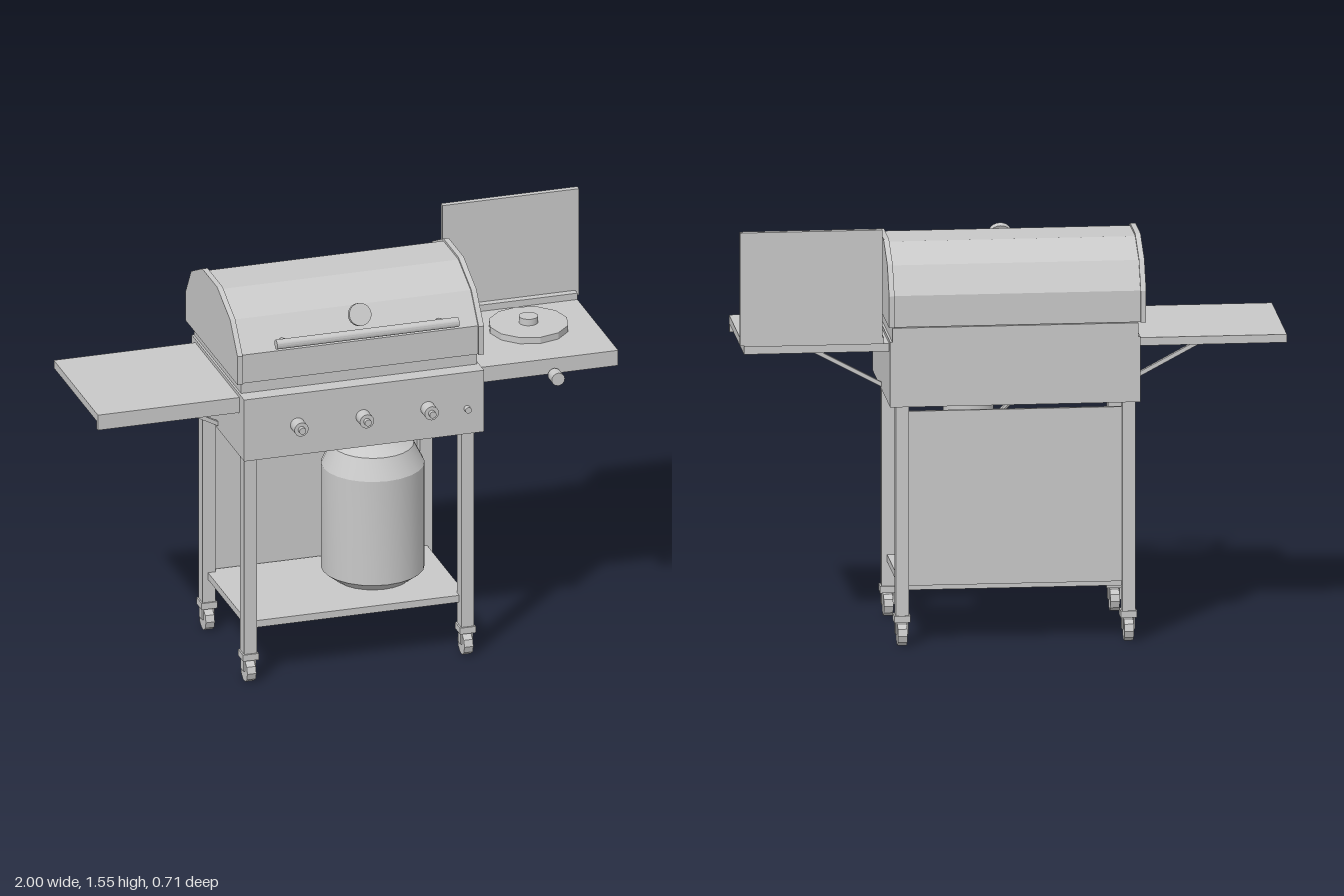
import * as THREE from 'three';
import { toCreasedNormals } from 'three/addons/utils/BufferGeometryUtils.js';

export function createModel() {
  const model = new THREE.Group();
  model.name = 'grillCart';
  const metal = new THREE.MeshStandardMaterial({ color: 0xc8c8c8 });
  metal.name = 'grey metal';

  const add = (name, geometry, x = 0, y = 0, z = 0, parent = model) => {
    const mesh = new THREE.Mesh(geometry, metal);
    mesh.name = name;
    mesh.position.set(x, y, z);
    parent.add(mesh);
    return mesh;
  };
  // Box given by its minimum and maximum on each axis
  const box = (name, x0, x1, y0, y1, z0, z1, parent) =>
    add(name, new THREE.BoxGeometry(x1 - x0, y1 - y0, z1 - z0),
      (x0 + x1) / 2, (y0 + y1) / 2, (z0 + z1) / 2, parent);
  // Round bar between two points
  const rod = (name, a, b, r, sides = 16, parent = model) => {
    const p = new THREE.Vector3(...a), q = new THREE.Vector3(...b);
    const d = q.clone().sub(p);
    const geo = toCreasedNormals(new THREE.CylinderGeometry(r, r, d.length(), sides), 0.6);
    const mesh = add(name, geo, 0, 0, 0, parent);
    mesh.position.copy(p).add(q).multiplyScalar(0.5);
    mesh.quaternion.setFromUnitVectors(new THREE.Vector3(0, 1, 0), d.normalize());
    return mesh;
  };
  // Side profile of [z, y] points extruded along x
  const slab = (name, points, x0, x1) => {
    const shape = new THREE.Shape(points.map(([z, y]) => new THREE.Vector2(-z, y)));
    const geo = new THREE.ExtrudeGeometry(shape, { depth: x1 - x0, bevelEnabled: false });
    geo.rotateY(Math.PI / 2);
    return add(name, geo, x0);
  };

  // Firebox with a narrower upper step
  box('firebox', -0.46, 0.455, 0.9, 1.143, -0.345, 0.287);
  box('fireboxRim', -0.452, 0.447, 1.143, 1.195, -0.345, 0.225);

  // Faceted lid with slightly larger end bands
  const lid = (inset) => [
    [0.27 - inset, 1.198], [0.27 - inset, 1.31], [0.18 - inset * 0.7, 1.42 - inset * 0.5],
    [0.025, 1.485 - inset], [-0.155, 1.485 - inset], [-0.29 + inset * 0.7, 1.42 - inset * 0.5],
    [-0.355 + inset, 1.315], [-0.355 + inset, 1.198]];
  slab('lid', lid(0.009), -0.465, 0.445);
  slab('lidBandRight', lid(0), -0.48, -0.46);
  slab('lidBandLeft', lid(0), 0.44, 0.46);

  // Lid handle and thermometer
  rod('lidHandle', [-0.355, 1.37, 0.338], [0.34, 1.37, 0.338], 0.018);
  for (const x of [-0.305, 0.294])
    rod('handleBracket', [x, 1.37, 0.338], [x, 1.34, 0.25], 0.014);
  rod('thermometer', [-0.007, 1.403, 0.238], [-0.007, 1.411, 0.256], 0.042, 20);

  // Control knobs and igniter button
  for (const x of [-0.257, -0.007, 0.24]) {
    rod('knob', [x, 1.02, 0.28], [x, 1.02, 0.337], 0.027);
    rod('knobCap', [x, 1.02, 0.33], [x, 1.02, 0.353], 0.013);
  }
  rod('igniter', [0.39, 1.0, 0.28], [0.39, 1.0, 0.307], 0.012);

  // Side shelves, each with a front lip and a diagonal brace
  const shelf = [[0.23, 1.13], [0.23, 1.07], [0.212, 1.07], [0.212, 1.1], [-0.302, 1.1], [-0.302, 1.13]];
  slab('rightShelf', shelf, -1, -0.455);
  slab('leftShelf', shelf, 0.45, 0.985);
  for (const s of [-1, 1]) {
    const dx = 0.31, dy = 0.165;
    const brace = add('shelfBrace', new THREE.BoxGeometry(Math.hypot(dx, dy), 0.015, 0.016),
      s * 0.605, 0.998, -0.034);
    brace.rotation.z = s * Math.atan2(dy, dx);
  }

  // Side burner with its raised cover
  add('burnerPlate', new THREE.CylinderGeometry(0.147, 0.147, 0.025, 12).toNonIndexed(), 0.735, 1.142, -0.062)
    .geometry.computeVertexNormals();
  rod('burnerCap', [0.735, 1.15, -0.062], [0.735, 1.18, -0.062], 0.035);
  rod('burnerKnob', [0.738, 1.07, 0.24], [0.738, 1.07, 0.288], 0.025);
  rod('burnerKnobStem', [0.738, 1.07, 0.22], [0.738, 1.07, 0.25], 0.012);
  box('burnerCover', 0.48, 1, 1.135, 1.555, -0.312, -0.29);
  box('burnerCoverHinge', 0.475, 0.985, 1.13, 1.155, -0.312, -0.262);

  // Legs on swivel casters
  for (const [x0, x1] of [[-0.445, -0.397], [0.383, 0.431]])
    for (const [z0, z1] of [[-0.31, -0.26], [0.19, 0.24]]) {
      box('leg', x0, x1, 0.11, 0.9, z0, z1);
      const caster = new THREE.Group();
      caster.name = 'caster';
      caster.position.set((x0 + x1) / 2, 0, (z0 + z1) / 2);
      model.add(caster);
      box('casterPlate', -0.03, 0.03, 0.09, 0.115, -0.031, 0.031, caster);
      for (const s of [-1, 1])
        add('casterFork', new THREE.BoxGeometry(0.006, 0.048, 0.034), s * 0.021, 0.068, 0, caster);
      rod('casterWheel', [-0.017, 0.042, 0], [0.017, 0.042, 0], 0.042, 10, caster);
      rod('casterAxle', [-0.024, 0.05, 0], [0.024, 0.05, 0], 0.009, 8, caster);
    }

  // Cart frame
  box('bottomShelf', -0.425, 0.411, 0.205, 0.232, -0.285, 0.215);
  box('backPanel', -0.397, 0.383, 0.225, 0.875, -0.304, -0.292);
  for (const x of [-0.421, 0.407]) box('sideRail', x - 0.015, x + 0.015, 0.873, 0.9, -0.26, 0.19);

  // Gas bottle, collar and hose
  const profile = [[0, 0.232], [0.14, 0.232], [0.189, 0.27], [0.189, 0.68], [0.15, 0.757], [0.092, 0.785], [0, 0.785]];
  const bottle = new THREE.LatheGeometry(profile.map((p) => new THREE.Vector2(...p)), 24);
  add('gasBottle', toCreasedNormals(bottle, 0.4), 0.14, 0, -0.06);
  rod('bottleCollar', [0.14, 0.775, -0.06], [0.14, 0.878, -0.06], 0.092, 24);
  rod('gasHose', [-0.07, 0.9, -0.06], [0.055, 0.783, -0.06], 0.01, 10);
  rod('hoseConnector', [0.045, 0.78, -0.06], [0.09, 0.797, -0.06], 0.012, 10);

  return model;
}
